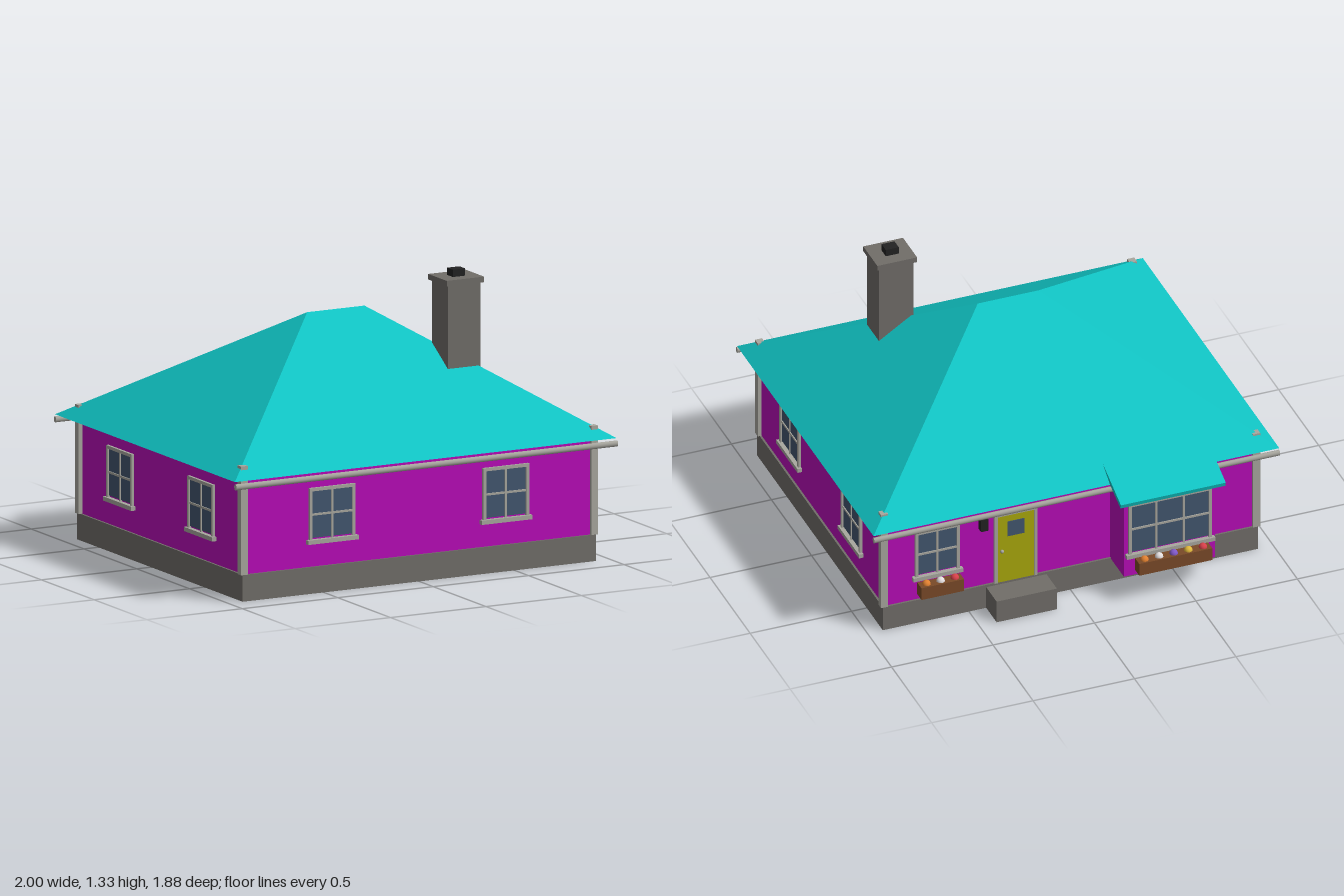
import * as THREE from 'three';

const material = (color, side = THREE.FrontSide) => new THREE.MeshStandardMaterial({ color, side });
const wallMat = material(0xb80cb8);
const roofMat = material(0x10c4c4, THREE.DoubleSide);
const stoneMat = material(0x716e69);
const trimMat = material(0xa8a79f);
const glassMat = material(0x42566f);
const doorMat = material(0xa9a80c);
const woodMat = material(0x7a4a28);
const darkMat = material(0x222222);
const flowerMats = [0xd8404a, 0xe0b83c, 0x8058c8, 0xe4dede, 0xe08030].map((c) => material(c));

function add(parent, name, geometry, mat, x = 0, y = 0, z = 0) {
  const mesh = new THREE.Mesh(geometry, mat);
  mesh.name = name;
  mesh.position.set(x, y, z);
  parent.add(mesh);
  return mesh;
}

// Box given by its minimum and maximum on each axis
function block(parent, name, mat, [x0, x1], [y0, y1], [z0, z1]) {
  return add(parent, name, new THREE.BoxGeometry(x1 - x0, y1 - y0, z1 - z0), mat,
    (x0 + x1) / 2, (y0 + y1) / 2, (z0 + z1) / 2);
}

function group(parent, name, x, y, z, turn = 0) {
  const g = new THREE.Group();
  g.name = name;
  g.position.set(x, y, z);
  g.rotation.y = turn;
  parent.add(g);
  return g;
}

// Window standing on its local y = 0 and facing local +z
function addWindow(parent, x, y, z, turn, w, h, columns) {
  const g = group(parent, 'window', x, y, z, turn);
  const f = 0.015, a = w / 2;
  block(g, 'glass', glassMat, [-a + f, a - f], [f, h - f], [-0.01, 0.005]);
  for (const s of [-1, 1]) {
    block(g, 'frameSide', trimMat, [s * a - (s > 0 ? f : 0), s * a + (s < 0 ? f : 0)], [0, h], [-0.01, 0.013]);
  }
  block(g, 'frameTop', trimMat, [-a + f, a - f], [h - f, h], [-0.01, 0.013]);
  block(g, 'sill', trimMat, [-a - 0.013, a + 0.013], [-0.012, 0.008], [-0.01, 0.022]);
  for (let i = 1; i < columns; i++) {
    const bx = -a + (w * i) / columns;
    block(g, 'uprightBar', trimMat, [bx - 0.005, bx + 0.005], [0, h - f], [-0.01, 0.01]);
  }
  block(g, 'crossBar', trimMat, [-a + f, a - f], [h / 2 - 0.005, h / 2 + 0.005], [-0.01, 0.01]);
}

// Planter with a row of blooms, centred on its own middle
function addFlowerBox(parent, x, y, z, w, mats) {
  const g = group(parent, 'flowerBox', x, y, z);
  block(g, 'planter', woodMat, [-w / 2, w / 2], [-0.032, 0.032], [-0.027, 0.027]);
  mats.forEach((m, i) => {
    const fx = ((i + 0.5) / mats.length - 0.5) * w;
    add(g, 'flower', new THREE.SphereGeometry(0.02, 12, 8), m, fx, 0.032, 0);
  });
}

// Hipped roof from four eave corners and two ridge points
function hipRoofGeometry() {
  const y = 0.58, ridge = 1.13, zm = 0.0775;
  const [a, b, c, d] = [[-1, y, 0.93], [1, y, 0.93], [1, y, -0.775], [-1, y, -0.775]];
  const [l, r] = [[-0.15, ridge, zm], [0.15, ridge, zm]];
  const faces = [a, b, r, a, r, l, b, c, r, c, d, l, c, l, r, d, a, l, a, d, c, a, c, b];
  const geometry = new THREE.BufferGeometry();
  geometry.setAttribute('position', new THREE.Float32BufferAttribute(faces.flat(), 3));
  geometry.computeVertexNormals();
  return geometry;
}

// Extrudes a (z, y) outline along x between two limits
function sideProfile(points, x0, x1) {
  const shape = new THREE.Shape(points.map(([z, y]) => new THREE.Vector2(-z, y)));
  const geometry = new THREE.ExtrudeGeometry(shape, { depth: x1 - x0, bevelEnabled: false });
  return geometry.rotateY(Math.PI / 2).translate(x0, 0, 0);
}

export function createModel() {
  const house = new THREE.Group();
  house.name = 'house';

  // Foundation, walls and roof
  block(house, 'foundation', stoneMat, [-0.925, 0.925], [0, 0.125], [-0.7, 0.868]);
  block(house, 'walls', wallMat, [-0.915, 0.915], [0.125, 0.585], [-0.69, 0.858]);
  add(house, 'roof', hipRoofGeometry(), roofMat);

  // Corner boards whose tips just reach through the roof
  for (const x of [-0.917, 0.917]) {
    for (const z of [-0.686, 0.854]) {
      block(house, 'cornerBoard', trimMat, [x - 0.0175, x + 0.0175], [0.125, 0.635], [z - 0.0175, z + 0.0175]);
    }
  }

  // Gutters along the front and back eaves
  for (const z of [-0.775, 0.934]) {
    const gutter = add(house, 'gutter', new THREE.CylinderGeometry(0.011, 0.011, 2, 12), trimMat, 0, 0.556, z);
    gutter.rotation.z = Math.PI / 2;
    gutter.scale.x = 1.3;
  }

  // Chimney
  const chimney = group(house, 'chimney', 0.459, 0, 0.388);
  block(chimney, 'stack', stoneMat, [-0.085, 0.085], [0.75, 1.275], [-0.075, 0.075]);
  block(chimney, 'cap', stoneMat, [-0.098, 0.098], [1.272, 1.298], [-0.088, 0.088]);
  block(chimney, 'flue', darkMat, [-0.032, 0.032], [1.295, 1.332], [-0.027, 0.027]);

  // Windows on the front, both sides and the back
  for (const x of [-0.455, 0.455]) addWindow(house, x, 0.245, 0.858, 0, 0.24, 0.25, 2);
  for (const s of [-1, 1]) {
    for (const z of [0.467, -0.3]) addWindow(house, s * 0.915, 0.245, z, s * Math.PI / 2, 0.24, 0.25, 2);
  }
  addWindow(house, 0.655, 0.245, -0.69, Math.PI, 0.22, 0.25, 2);
  addFlowerBox(house, 0.655, 0.198, -0.739, 0.21, [flowerMats[0], flowerMats[3], flowerMats[4]]);

  // Bay with its lean-to roof, wide window and planter
  add(house, 'bay', sideProfile([[-0.68, 0.12], [-0.86, 0.12], [-0.86, 0.545], [-0.68, 0.61]], -0.65, -0.2), wallMat);
  add(house, 'bayRoof', sideProfile([[-0.68, 0.615], [-0.905, 0.53], [-0.91, 0.55], [-0.685, 0.64]], -0.683, -0.166), roofMat);
  addWindow(house, -0.425, 0.235, -0.86, Math.PI, 0.41, 0.28, 3);
  addFlowerBox(house, -0.425, 0.195, -0.913, 0.36, flowerMats);

  // Back door with trim, pane, knob, step and lamp
  const door = group(house, 'door', 0.27, 0.125, -0.69, Math.PI);
  block(door, 'doorPanel', doorMat, [-0.09, 0.09], [0, 0.36], [-0.01, 0.012]);
  for (const s of [-1, 1]) {
    block(door, 'doorTrim', trimMat, [s * 0.098 - 0.008, s * 0.098 + 0.008], [0, 0.36], [-0.01, 0.016]);
  }
  block(door, 'doorHead', trimMat, [-0.106, 0.106], [0.36, 0.376], [-0.01, 0.016]);
  block(door, 'doorPane', glassMat, [-0.042, 0.042], [0.245, 0.325], [0, 0.015]);
  add(door, 'doorKnob', new THREE.SphereGeometry(0.009, 12, 8), trimMat, -0.07, 0.17, 0.018);
  block(house, 'doorStep', stoneMat, [0.118, 0.415], [0, 0.113], [-0.83, -0.69]);
  block(house, 'lamp', darkMat, [0.412, 0.448], [0.435, 0.497], [-0.72, -0.685]);

  return house;
}
